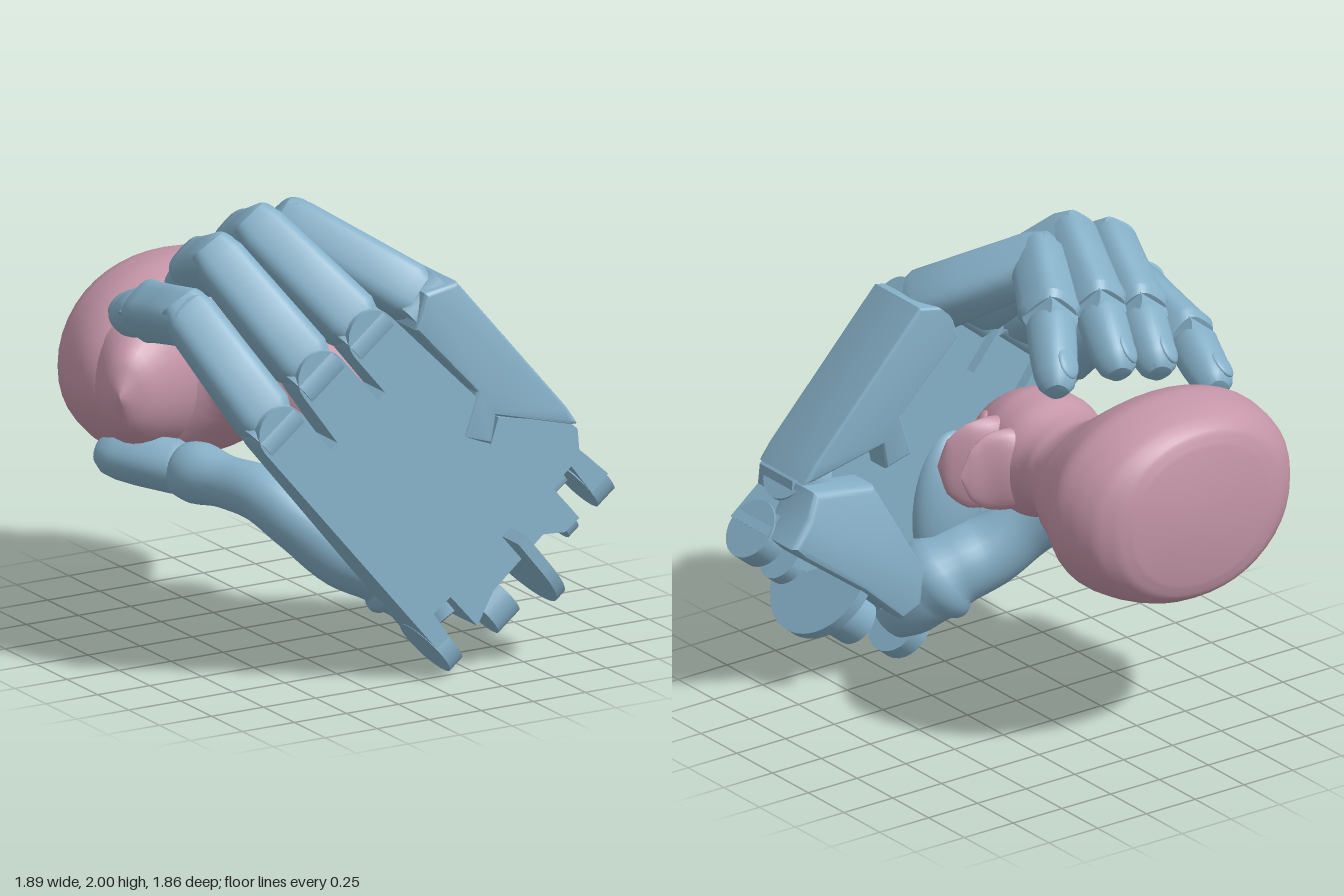
import * as THREE from 'three';
import { toCreasedNormals } from 'three/addons/utils/BufferGeometryUtils.js';

const V = (x, y, z) => new THREE.Vector3(x, y, z);
const blue = new THREE.MeshStandardMaterial({ color: 0x86b0c8, side: THREE.DoubleSide });
const pink = new THREE.MeshStandardMaterial({ color: 0xc596a8, side: THREE.DoubleSide });
const TILT = 39 * Math.PI / 180;                 // the hand leans in the xy plane
const R = V(Math.cos(TILT), Math.sin(TILT), 0);  // across the hand
const U = V(-Math.sin(TILT), Math.cos(TILT), 0); // along the hand, to the fingers

// Skin rings of {c, rx, ry} along a path, with a flat start; n > 2 squares the section off.
function loft(rings, across, { n = 2, sides = 28, sub = 1, dir = null, crease = .6 } = {}) {
  let list = rings;
  if (sub > 1) {
    const centre = new THREE.CatmullRomCurve3(rings.map(r => r.c));
    const size = new THREE.CatmullRomCurve3(rings.map(r => V(r.rx, r.ry, 0)));
    const steps = (rings.length - 1) * sub;
    list = Array.from({ length: steps + 1 }, (_, i) => {
      const s = size.getPoint(i / steps);
      return { c: centre.getPoint(i / steps), rx: Math.max(s.x, 0), ry: Math.max(s.y, 0) };
    });
  }
  list = [{ c: list[0].c, rx: 0, ry: 0 }, ...list];
  const pos = [], idx = [];
  list.forEach((ring, k) => {
    const d = dir ? dir.clone() : list[Math.min(k + 1, list.length - 1)].c.clone().sub(list[Math.max(k - 1, 0)].c);
    if (d.lengthSq() < 1e-9) d.subVectors(list[2].c, list[0].c);
    d.normalize();
    const X = across.clone().addScaledVector(d, -across.dot(d)).normalize();
    const Y = d.clone().cross(X);
    for (let i = 0; i < sides; i++) {
      const a = i / sides * Math.PI * 2, c = Math.cos(a), s = Math.sin(a);
      const p = ring.c.clone()
        .addScaledVector(X, Math.sign(c) * Math.abs(c) ** (2 / n) * ring.rx)
        .addScaledVector(Y, Math.sign(s) * Math.abs(s) ** (2 / n) * ring.ry);
      pos.push(p.x, p.y, p.z);
      if (k < list.length - 1) {
        const A = k * sides + i, B = k * sides + (i + 1) % sides;
        idx.push(A, B, B + sides, A, B + sides, A + sides);
      }
    }
  });
  const g = new THREE.BufferGeometry();
  g.setAttribute('position', new THREE.Float32BufferAttribute(pos, 3));
  g.setIndex(idx);
  return toCreasedNormals(g, crease);
}

function add(parent, name, geo, mat = blue) {
  const m = new THREE.Mesh(geo, mat);
  m.name = name;
  parent.add(m);
  return m;
}

// Bone profiles: position along the bone, scale of the section
const PROXIMAL = [[0, .95], [.08, 1.13], [.4, 1.08], [.88, 1], [1, .8], [1, 0]];
const MIDDLE = [[0, .78], [.1, .98], [.5, .98], [.8, 1], [.92, 1.04], [1, .88], [1, 0]];
const TIP = [[0, .9], [.08, 1], [.5, .95], [.75, .87], [.9, .73], [.98, .48], [1, 0]];

// One finger bone between two points.
function bone(parent, name, a, b, w, d, profile, n) {
  const dir = b.clone().sub(a).normalize();
  const rings = profile.map(([t, s]) => ({ c: a.clone().lerp(b, t), rx: w * s, ry: d * s }));
  add(parent, name, loft(rings, R, { n, dir }));
}

// Hinge pin lying across the hand.
function pin(parent, name, c, r, len) {
  const g = new THREE.CylinderGeometry(r, r, len, 28).rotateZ(TILT - Math.PI / 2);
  add(parent, name, g).position.copy(c);
}

// Nail on the outer side of a fingertip.
function nail(parent, a, b, out, w, lift) {
  const dir = b.clone().sub(a).normalize();
  const Y = out.clone().addScaledVector(dir, -out.dot(dir)).normalize();
  const m = add(parent, 'nail', new THREE.SphereGeometry(1, 20, 12).scale(w, .022, w * 1.3));
  m.quaternion.setFromRotationMatrix(new THREE.Matrix4().makeBasis(Y.clone().cross(dir), Y, dir));
  m.position.copy(a).lerp(b, .68).addScaledVector(Y, lift);
}

// The back of the hand slopes gently towards the fingers.
const along = (x, y) => U.x * x + U.y * y;
const face = (x, y) => .815 - .08 * along(x, y);

// Extrude an outline from 0 to a depth, with a rule for the final z.
function slab(points, depth, bevel, rule) {
  const g = new THREE.ExtrudeGeometry(new THREE.Shape(points.map(p => new THREE.Vector2(p[0], p[1]))), {
    depth: depth - 2 * bevel, bevelEnabled: bevel > 0, bevelSize: bevel, bevelOffset: -bevel,
    bevelThickness: bevel, bevelSegments: 3,
  }).translate(0, 0, bevel);
  const p = g.attributes.position;
  for (let i = 0; i < p.count; i++) p.setZ(i, rule(p.getX(i), p.getY(i), p.getZ(i)));
  g.deleteAttribute('uv');
  return toCreasedNormals(g, .5);
}

// Knuckle, bend, end joint and tip of each finger, little finger first.
const FINGERS = [
  ['littleFinger', [-.63, 1.15, .62], [-.81, 1.56, .26], [-.78, 1.48, -.15], [-.71, 1.37, -.44], .113],
  ['ringFinger', [-.44, 1.36, .62], [-.67, 1.78, .26], [-.56, 1.64, -.1], [-.48, 1.47, -.35], .113],
  ['middleFinger', [-.2, 1.5, .62], [-.46, 1.87, .25], [-.34, 1.72, -.11], [-.26, 1.53, -.37], .113],
  ['indexFinger', [.1, 1.58, .61], [-.26, 1.85, .2], [-.1, 1.74, -.1], [.07, 1.54, -.38], .11],
];

function makeFinger([name, k, b, j, t, w]) {
  const g = new THREE.Group();
  g.name = name;
  const [K, B, J, T] = [k, b, j, t].map(p => V(...p));
  const unit = (p, q) => q.clone().sub(p).normalize();
  pin(g, 'knuckle', K, .1, .2);
  bone(g, 'proximalBone', K.clone().addScaledVector(unit(K, B), .02), B.clone().addScaledVector(unit(K, B), .08), w, .11, PROXIMAL, 3.5);
  bone(g, 'middleBone', B.clone().addScaledVector(unit(B, J), -.07), J, w, .112, MIDDLE, 3.2);
  pin(g, 'endJoint', J, .08, .17);
  bone(g, 'fingertip', J.clone().addScaledVector(unit(J, T), .02), T, w * .9, .097, TIP, 2.5);
  nail(g, J, T, U, .062, .072);
  return g;
}

function makePalm() {
  const g = new THREE.Group();
  g.name = 'palm';
  // Outline: round lobes under three knuckles with narrow slots between, then the wrist edge
  const outline = [[.08, .1]];
  const slots = [[-.4, 1.065], [-.17, 1.245]];
  FINGERS.slice(0, 3).forEach(([, k], f) => {
    for (let i = 0; i <= 10; i++) {
      const a = TILT + Math.PI * (1 - i / 10);
      outline.push([k[0] + .115 * Math.cos(a), k[1] + .115 * Math.sin(a)]);
    }
    if (slots[f]) for (const s of [-.022, .022]) outline.push([slots[f][0] + s * R.x, slots[f][1] + s * R.y]);
  });
  outline.push([.27, 1.18], [.21, 1.02], [.33, .97], [.37, 1.08], [.69, 1.02], [.735, .98], [.74, .89],
    [.87, .77], [.79, .7], [.7, .825], [.61, .745], [.69, .65], [.73, .6], [.66, .55], [.56, .555],
    [.32, .35], [.24, .21], [.12, .35], [.04, .29], [.13, .15]);
  add(g, 'palmPlate', slab(outline, 1, 0, (x, y, z) => face(x, y) - (z > .5 ? 0 : .25 - .07 * along(x, y))));
  // Index side block, its round lower end, and the heel block
  const index = [[0, 1.5], [.05, 1.65], [.2, 1.68], [.69, 1.08], [.74, 1], [.69, 1], [.36, 1.085], [.335, .97], [.21, 1.01], [.27, 1.2]];
  add(g, 'indexBlock', slab(index, .33, .02, (x, y, z) => z + face(x, y) - .325));
  pin(g, 'indexBlockEnd', V(.645, .95, .65), .13, .13);
  const heel = [[.42, .93], [.72, .97], [.77, .87], [.86, .76], [.8, .7], [.5, .48], [.3, .3], [.2, .34], [.18, .5]];
  add(g, 'heelBlock', slab(heel, .25, .03, (x, y, z) => z + .38 + .25 * Math.max(0, y - .8) * (.25 - z) * 4));
  // Wrist hinge: rounded lugs and the round-ended plate
  pin(g, 'wristLug', V(.83, .73, .675), .13, .1);
  pin(g, 'wristLug', V(.7, .58, .675), .1, .06);
  pin(g, 'wristLug', V(.38, .25, .675), .11, .13);
  pin(g, 'wristLug', V(.1, .13, .675), .14, .075);
  const d = new THREE.Shape();
  d.moveTo(.265, .18);
  d.lineTo(-.265, .18);
  d.lineTo(-.265, 0);
  d.absarc(0, 0, .265, Math.PI, Math.PI * 2, false);
  d.closePath();
  const plate = add(g, 'wristPlate', new THREE.ExtrudeGeometry(d, { depth: .05, bevelEnabled: false, curveSegments: 28 }));
  plate.quaternion.setFromRotationMatrix(new THREE.Matrix4().makeBasis(V(0, 0, 1), U, R.clone().negate()));
  plate.position.set(.52, .465, .665);
  return g;
}

function makeThumb() {
  const g = new THREE.Group();
  g.name = 'thumb';
  const ring = (x, y, z, rx, ry = rx) => ({ c: V(x, y, z), rx, ry });
  add(g, 'thumbBase', loft([
    ring(.19, .19, .62, .09), ring(.15, .26, .57, .14), ring(.09, .35, .52, .17), ring(-.01, .43, .47, .17),
    ring(-.16, .49, .41, .155), ring(-.31, .61, .31, .13), ring(-.41, .71, .17, .12), ring(-.48, .73, .0, .11),
    ring(-.53, .74, -.14, .13), ring(-.56, .74, -.23, .11), ring(-.57, .745, -.25, 0),
  ], V(0, 1, 0), { sub: 5 }));
  // Fleshy mound running from the thumb root up the palm
  const mound = add(g, 'thumbMound', new THREE.SphereGeometry(1, 32, 20).scale(.17, .32, .1));
  mound.position.set(-.05, .68, .56);
  mound.rotation.z = .1;
  const a = V(-.56, .745, -.23), b = V(-.77, .76, -.56);
  bone(g, 'thumbTip', a, b, .11, .11, TIP, 2.4);
  nail(g, a, b, V(.6, -.6, -.3), .065, .085);
  return g;
}

function makeDuck() {
  const g = new THREE.Group();
  g.name = 'toyDuck';
  const Y = 1.09;
  // Body, neck and head: z, centre x, half length, half width
  const profile = [[-.925, -.27, .34, .3], [-.9, -.28, .42, .365], [-.84, -.285, .5, .405],
    [-.75, -.295, .555, .43], [-.63, -.3, .58, .44], [-.5, -.33, .555, .4], [-.4, -.32, .51, .33], [-.33, -.23, .38, .265],
    [-.25, -.14, .26, .22], [-.17, -.13, .24, .225], [-.05, -.13, .265, .265], [.06, -.13, .26, .265],
    [.16, -.13, .23, .23], [.25, -.12, .165, .165], [.31, -.12, .08, .08], [.33, -.12, 0, 0]];
  const along = (rows, across, options) => loft(rows.map(([x, z, rx, ry]) => ({ c: V(x, Y, z), rx, ry })), across, options);
  add(g, 'bodyAndHead', along(profile.map(([z, x, rx, ry]) => [x, z, rx, ry]),
    V(1, 0, 0), { n: 2.1, sides: 44, sub: 4, dir: V(0, 0, 1) }), pink);
  add(g, 'tail', along([[-.4, -.66, .4, .28], [-.58, -.5, .34, .27], [-.71, -.37, .26, .19], [-.81, -.28, .16, .1], [-.86, -.23, 0, 0]],
    V(0, 1, 0), { sub: 4 }), pink);
  // Bill halves, flared apart at the tip: x, z, half width, half thickness
  const bill = {
    upperBill: [[-.02, .07, .17, .1], [.1, .05, .2, .075], [.2, .065, .19, .04], [.28, .105, .12, .02], [.31, .13, 0, 0]],
    lowerBill: [[-.02, -.07, .15, .1], [.08, -.06, .18, .075], [.17, -.035, .17, .04], [.25, -.02, .11, .018], [.3, -.015, 0, 0]],
  };
  for (const [name, rows] of Object.entries(bill)) add(g, name, along(rows, V(0, 1, 0), { sub: 4 }), pink);
  for (const s of [-1, 1]) {
    const eye = add(g, 'eye', new THREE.SphereGeometry(1, 20, 14).scale(.02, .045, .052), pink);
    eye.position.set(.055, Y + s * .13, .165);
    eye.rotation.set(0, -.6, s * .55);
  }
  return g;
}

export function createModel() {
  const model = new THREE.Group();
  model.name = 'handHoldingToyDuck';
  model.add(makePalm(), ...FINGERS.map(makeFinger), makeThumb(), makeDuck());
  return model;
}
